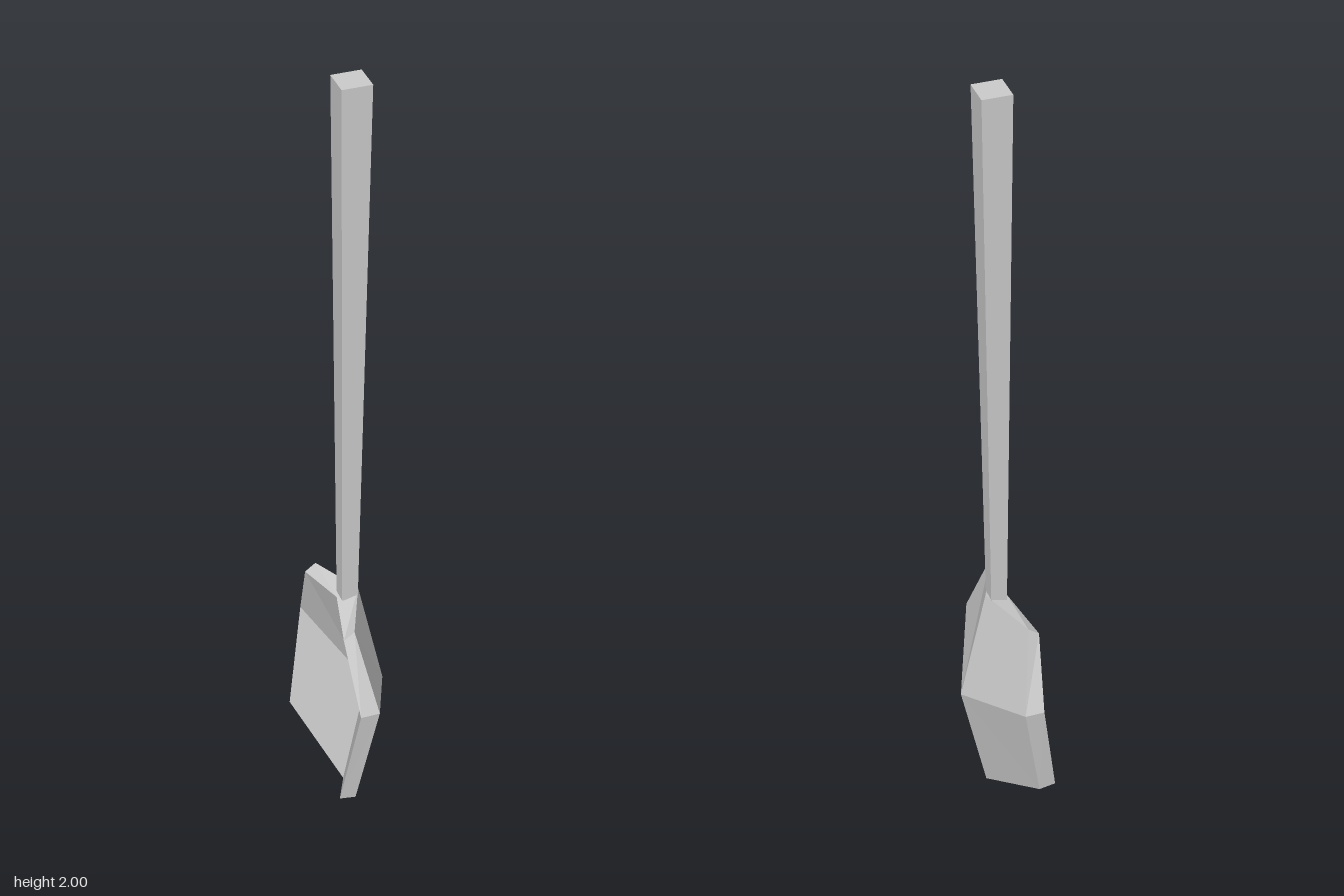
import * as THREE from 'three';

const material = new THREE.MeshStandardMaterial({ color: 0xcccccc, flatShading: true });

// Outline of one half, from top centre down to the tip, mirrored in z to a closed ring
function mirrorRing(half) {
  const other = half.slice(1, -1).reverse().map(([x, y, z]) => [x, y, -z]);
  return [...half, ...other];
}

// Bent, faceted bowl: convex towards +x, hollow towards -x, joined by a rim
function createBowl() {
  const outer = mirrorRing([
    [0.025, 0.612, 0], [-0.035, 0.6, 0.14], [0, 0.4, 0.222], [-0.05, 0.115, 0.19], [0.024, 0.003, 0],
  ]);
  const inner = mirrorRing([
    [-0.03, 0.598, 0], [-0.062, 0.58, 0.14], [-0.048, 0.4, 0.222], [-0.091, 0.122, 0.19], [-0.014, 0, 0],
  ]);
  const outerMid = [0.09, 0.31, 0];
  const innerMid = [0.048, 0.31, 0];

  const positions = [];
  const quad = (a, b, c, d) => positions.push(...a, ...b, ...c, ...a, ...c, ...d);

  // Four facets on each side of the bowl
  for (let k = 0; k < 8; k += 2) {
    const l = (k + 2) % 8;
    quad(outerMid, outer[k], outer[k + 1], outer[l]);
    quad(innerMid, inner[l], inner[k + 1], inner[k]);
  }
  // Rim
  for (let i = 0; i < 8; i++) {
    const j = (i + 1) % 8;
    quad(outer[i], inner[i], inner[j], outer[j]);
  }

  const geometry = new THREE.BufferGeometry();
  geometry.setAttribute('position', new THREE.Float32BufferAttribute(positions, 3));
  geometry.computeVertexNormals();
  const bowl = new THREE.Mesh(geometry, material);
  bowl.name = 'bowl';
  return bowl;
}

// Square handle, widening upwards and leaning slightly to +x
function createHandle() {
  const bottom = 0.6, top = 2;
  const geometry = new THREE.CylinderGeometry(0.0355 * Math.SQRT2, 0.02 * Math.SQRT2, top - bottom, 4);
  geometry.rotateY(Math.PI / 4);
  geometry.translate(0, (top + bottom) / 2, 0);
  const p = geometry.attributes.position;
  for (let i = 0; i < p.count; i++) {
    const t = (p.getY(i) - bottom) / (top - bottom);
    p.setX(i, p.getX(i) + THREE.MathUtils.lerp(-0.003, 0.0075, t));
  }
  geometry.computeVertexNormals();
  const handle = new THREE.Mesh(geometry, material);
  handle.name = 'handle';
  return handle;
}

export function createModel() {
  const spoon = new THREE.Group();
  spoon.name = 'spoon';
  spoon.add(createBowl(), createHandle());
  return spoon;
}
